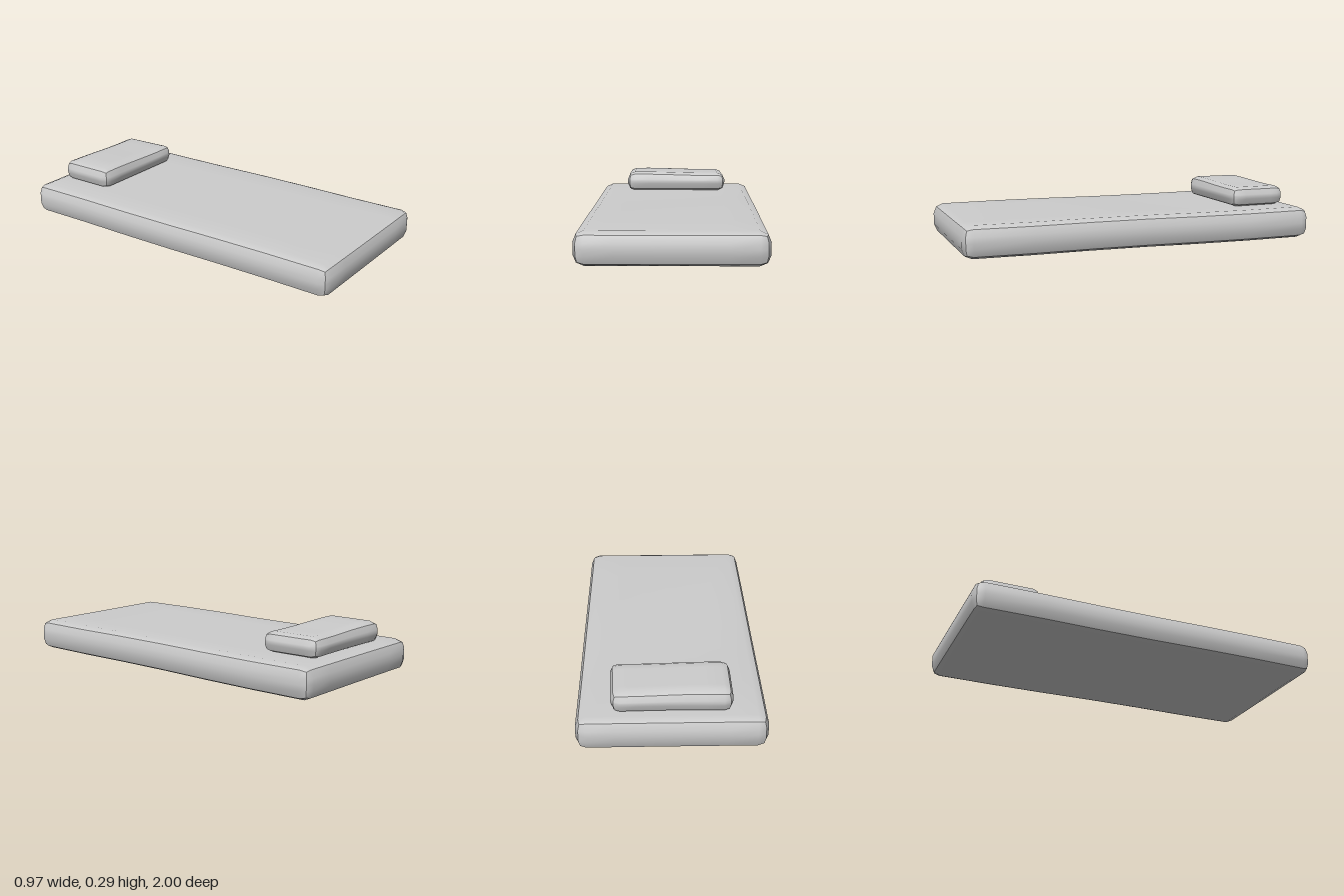
import * as THREE from 'three';

const fabric = new THREE.MeshStandardMaterial({ color: 0xcccccc });
fabric.name = 'grey fabric';

// Soft box: each face curls over at its rim by radius r, with a crease along the twelve seams
function cushion(name, size, r, position, wobble) {
  const half = size.map((s) => s / 2);
  const geo = new THREE.BoxGeometry(2, 2, 2, 8, 4, 8);
  const pos = geo.attributes.position;
  for (let i = 0; i < pos.count; i++) {
    const n = [pos.getX(i), pos.getY(i), pos.getZ(i)];
    // outermost grid cells form the rounded rim, inner cells span the flat core
    const rim = [0.75, 0.5, 0.75];
    const core = n.map((v, k) => Math.sign(v) * Math.min(Math.abs(v) / rim[k], 1) * (half[k] - r));
    const curl = new THREE.Vector3(...n.map((v, k) =>
      Math.sign(v) * Math.max(0, (Math.abs(v) - rim[k]) / (1 - rim[k]))));
    curl.setLength(r);
    const p = new THREE.Vector3(...core).add(curl);
    wobble(p, n);
    pos.setXYZ(i, p.x, p.y, p.z);
  }
  geo.computeVertexNormals();
  const mesh = new THREE.Mesh(geo, fabric);
  mesh.name = name;
  mesh.position.set(...position);
  return mesh;
}

export function createModel() {
  const group = new THREE.Group();
  group.name = 'bedding';

  // Mattress, with slightly uneven top
  group.add(cushion('mattress', [0.97, 0.175, 2], 0.055, [0, 0.0895, 0], (p, n) => {
    p.y += 0.002 * Math.sin(p.z * 5 + p.x * 2);
  }));

  // Pillow near the head end, a little lower and wider on its left
  group.add(cushion('pillow', [0.62, 0.116, 0.335], 0.045, [0.002, 0.234, -0.757], (p, n) => {
    if (n[1] > 0) p.y -= 0.004 * n[1] * (1 + Math.sin(p.x * 8));
    p.y += 0.002 * n[1];
    p.x += 0.006 * n[2] * Math.max(0, n[0]);
    p.z -= 0.003 * Math.cos(p.x * 9) * Math.min(0, n[2]);
  }));

  return group;
}
